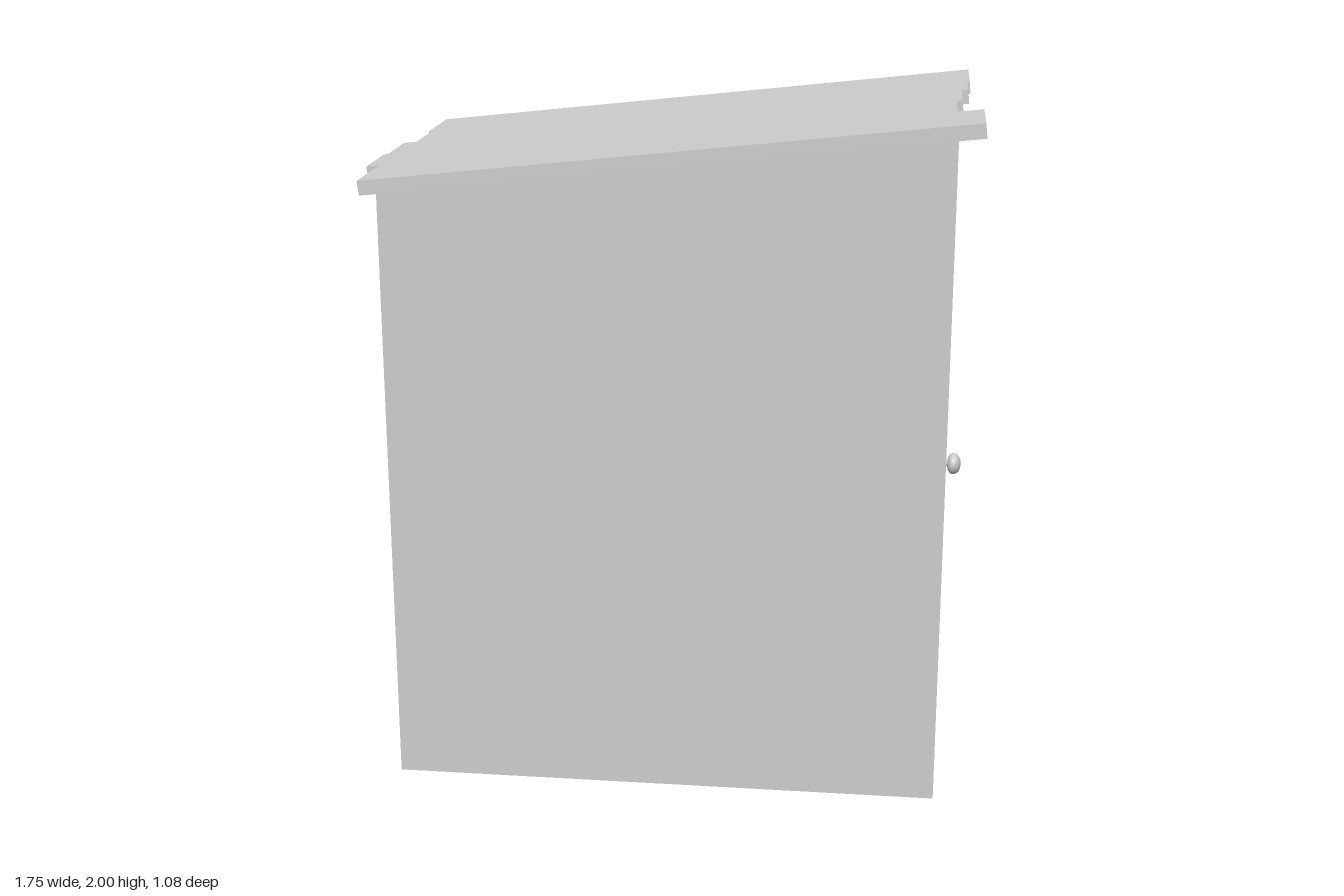
import * as THREE from 'three';

const SLOPE = 0.112;
const underside = (x) => 1.861 + SLOPE * x; // height of the roof's lower face

// Open-bottomed shell whose top edge follows the roof slope
function createWalls() {
  const geo = new THREE.BoxGeometry(1.596, 1, 0.982);
  geo.translate(-0.002, 0.5, 0);
  const pos = geo.attributes.position;
  for (let i = 0; i < pos.count; i++) {
    if (pos.getY(i) > 0.5) pos.setY(i, underside(pos.getX(i)));
  }
  // Keep the four side faces, drop the top and bottom
  const index = Array.from(geo.index.array);
  geo.setIndex([...index.slice(0, 12), ...index.slice(24)]);
  geo.clearGroups();
  geo.computeVertexNormals();
  const walls = new THREE.Mesh(geo, new THREE.MeshStandardMaterial({ color: 0xcccccc, side: THREE.DoubleSide }));
  walls.name = 'walls';
  return walls;
}

// Sloping slab with uneven board ends, boards listed from back to front
function createRoof(material) {
  const boards = [ // z start, z end, left end x, right end x
    [-0.538, -0.298, -0.832, 0.839],
    [-0.298, -0.1, -0.822, 0.832],
    [-0.1, 0.096, -0.862, 0.813],
    [0.096, 0.294, -0.874, 0.797],
    [0.294, 0.537, -0.836, 0.869],
  ];
  const angle = Math.atan(SLOPE);
  const stretch = 1 / Math.cos(angle);
  const outline = [];
  for (const [z0, z1, , right] of boards) {
    outline.push(new THREE.Vector2(right * stretch, -z0), new THREE.Vector2(right * stretch, -z1));
  }
  for (const [z0, z1, left] of [...boards].reverse()) {
    outline.push(new THREE.Vector2(left * stretch, -z1), new THREE.Vector2(left * stretch, -z0));
  }
  const geo = new THREE.ExtrudeGeometry(new THREE.Shape(outline), { depth: 0.041, bevelEnabled: false });
  geo.rotateX(-Math.PI / 2);
  const roof = new THREE.Mesh(geo, material);
  roof.rotation.z = angle;
  roof.position.y = underside(0);
  roof.name = 'roof';
  return roof;
}

// Round door knob: small rose, thin stem, domed head
function createKnob(material) {
  const profile = [
    [0, 0], [0.016, 0], [0.016, 0.004], [0.009, 0.006], [0.009, 0.016], [0.022, 0.019],
    [0.031, 0.026], [0.034, 0.034], [0.031, 0.045], [0.023, 0.053], [0.012, 0.057], [0, 0.059],
  ].map(([r, h]) => new THREE.Vector2(r, h));
  const geo = new THREE.LatheGeometry(profile, 24);
  geo.rotateZ(-Math.PI / 2);
  const knob = new THREE.Mesh(geo, material);
  knob.position.set(0.796, 0.8, -0.228);
  knob.name = 'doorKnob';
  return knob;
}

export function createModel() {
  const material = new THREE.MeshStandardMaterial({ color: 0xcccccc });
  const shed = new THREE.Group();
  shed.name = 'shed';
  shed.add(createWalls(), createRoof(material), createKnob(material));
  return shed;
}
